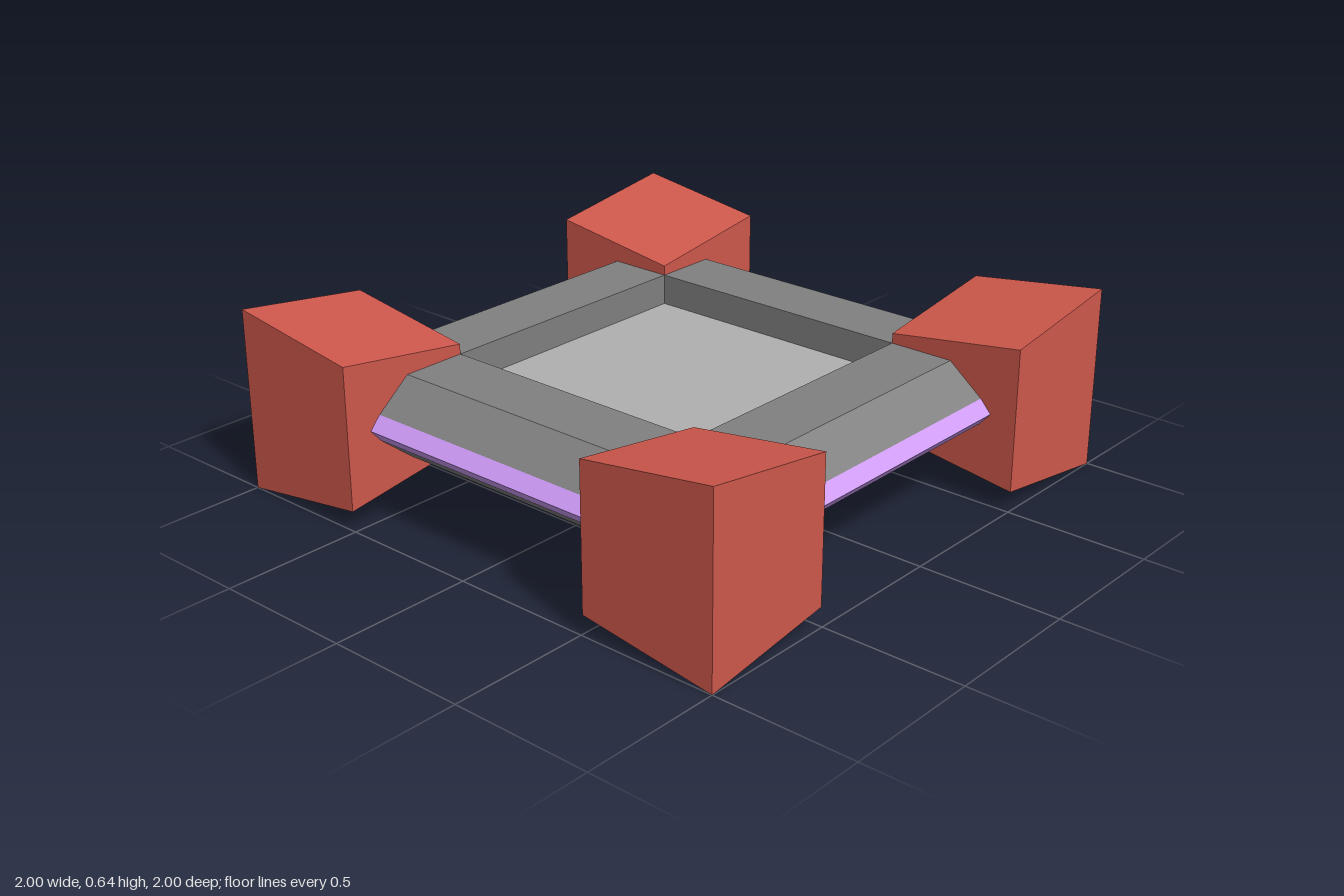
import * as THREE from 'three';

const INNER = 0.507; // half width of the opening and of each rail
const MID = 0.32;    // height of the horizontal mirror plane

const material = (color) => new THREE.MeshStandardMaterial({ color, flatShading: true });

// Prism with a cross-section of [outward, up] points, running the length of a rail
function railPrism(points) {
  const shape = new THREE.Shape(points.map(([x, y]) => new THREE.Vector2(x, y)));
  const geometry = new THREE.ExtrudeGeometry(shape, { depth: INNER * 2, bevelEnabled: false });
  return geometry.translate(0, MID, -INNER);
}

// Corner block whose top and bottom spread apart towards the outer corner
function cornerBlock() {
  const size = 1 - INNER;
  const box = new THREE.BoxGeometry(size, 1, size);
  box.translate((1 + INNER) / 2, 0, (1 + INNER) / 2);
  const pos = box.attributes.position;
  for (let i = 0; i < pos.count; i++) {
    const inward = (2 - pos.getX(i) - pos.getZ(i)) / size;
    pos.setY(i, MID + Math.sign(pos.getY(i)) * (MID - 0.07 * inward));
  }
  const geometry = box.toNonIndexed();
  geometry.computeVertexNormals();
  return geometry;
}

export function createModel() {
  const model = new THREE.Group();
  model.name = 'squareFrame';

  const railMaterial = material(0x808080);
  const edgeMaterial = material(0xcf9cfa);
  const blockMaterial = material(0xcf584c);

  const railGeometry = railPrism([
    [INNER, -0.145], [0.74, -0.145], [0.865, -0.045],
    [0.865, 0.045], [0.74, 0.145], [INNER, 0.145],
  ]);
  const edgeGeometry = railPrism([[0.865, -0.045], [0.905, 0], [0.865, 0.045]]);
  const blockGeometry = cornerBlock();

  // Four identical sides, each with a rail, its pointed edge strip and a corner block
  for (let i = 0; i < 4; i++) {
    const side = new THREE.Group();
    side.name = 'side' + (i + 1);
    const parts = [
      ['rail', railGeometry, railMaterial],
      ['edgeStrip', edgeGeometry, edgeMaterial],
      ['cornerBlock', blockGeometry, blockMaterial],
    ];
    for (const [name, geometry, mat] of parts) {
      const mesh = new THREE.Mesh(geometry, mat);
      mesh.name = name;
      side.add(mesh);
    }
    side.rotation.y = (i * Math.PI) / 2;
    model.add(side);
  }

  // Thin plate recessed between the rails
  const plate = new THREE.Mesh(
    new THREE.BoxGeometry(INNER * 2, 0.07, INNER * 2),
    material(0xb0b0b0)
  );
  plate.name = 'centrePlate';
  plate.position.y = MID;
  model.add(plate);

  return model;
}
